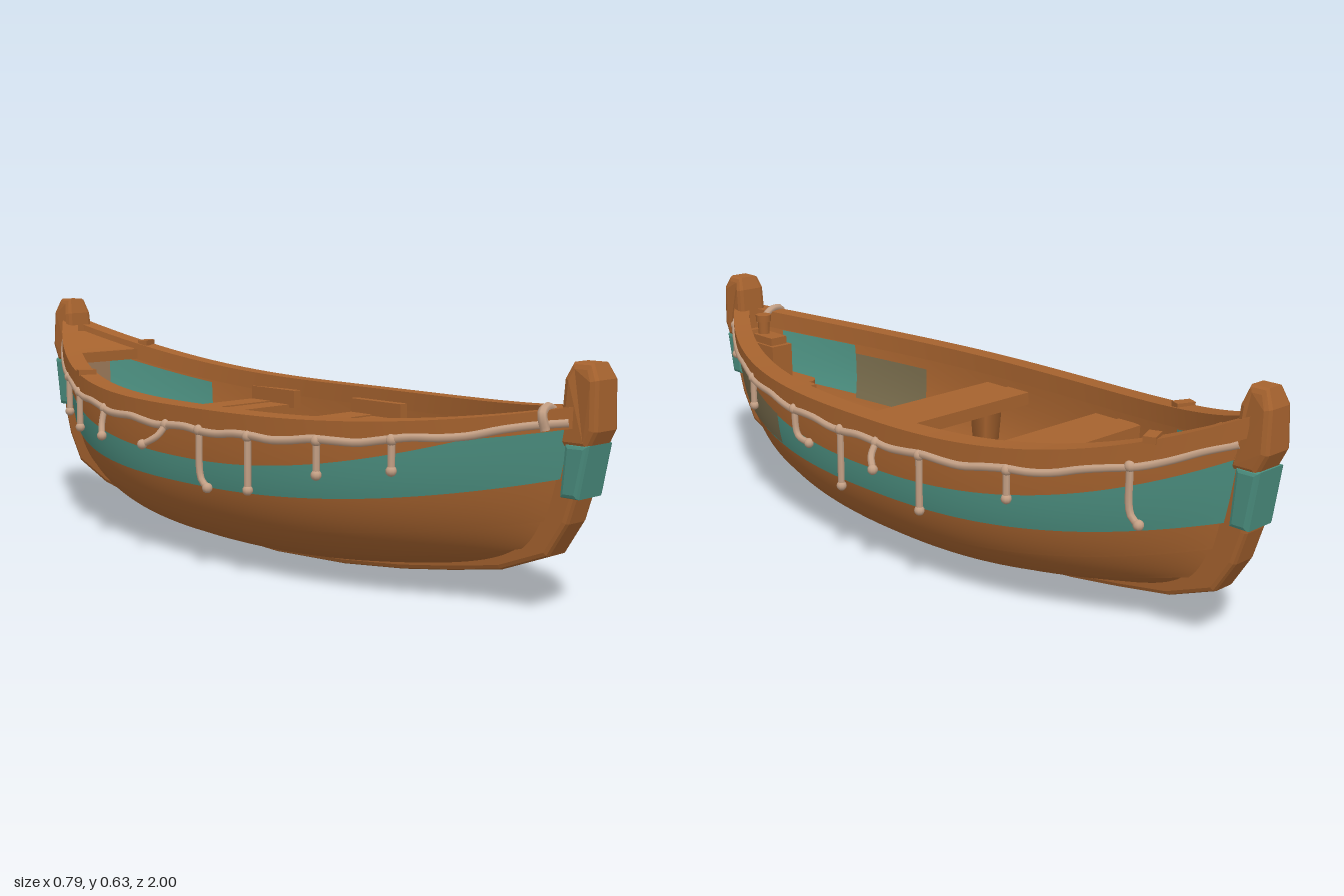
import * as THREE from 'three';
import { mergeGeometries } from 'three/addons/utils/BufferGeometryUtils.js';

const mat = (name, color) => new THREE.MeshStandardMaterial({ name, color, side: THREE.DoubleSide });

// Hull rules: u runs stern (-1) to bow (+1), h runs keel (0) to sheer (1)
const keelY = u => 0.025 + 0.1 * u * u;
const sheerY = u => 0.415 + (u > 0 ? 0.065 : 0.15) * Math.abs(u) ** 3;
const halfBeam = u => 0.03 + 0.295 * (1 - Math.abs(u) ** 2.5);
const fullness = (u, h) => Math.pow(1 - (1 - h) ** 3, 0.42 + 0.23 * Math.abs(u) ** 3);
const endZ = h => 0.84 + 0.11 * Math.pow(h, 0.6);
const bandLow = u => 0.5 + (u > 0 ? 0.05 : -0.07) * u * u;
const bandTop = u => Math.min(0.93, 0.67 + (u > 0 ? 0.32 : 0.12) * u * u);
const ropeH = u => 0.87 + (u > 0 ? 0.05 * u * u : 0);

function hullPoint(u, h, side, off = 0) {
  h = Math.min(1, Math.max(0, h));
  const x = Math.max(0, halfBeam(u) * fullness(u, h) + off);
  return new THREE.Vector3(side * x, keelY(u) + (sheerY(u) - keelY(u)) * h, u * endZ(h) * (off < -0.015 ? 0.985 : 1));
}

// Surface from a rule fn(a, b) with a and b in 0..1
function grid(fn, na, nb, flip = false) {
  const pos = [], idx = [];
  for (let i = 0; i <= na; i++) for (let j = 0; j <= nb; j++) {
    const p = fn(i / na, j / nb);
    pos.push(p.x, p.y, p.z);
  }
  for (let i = 0; i < na; i++) for (let j = 0; j < nb; j++) {
    const a = i * (nb + 1) + j, b = a + 1, c = a + nb + 1, d = c + 1;
    if (flip) idx.push(a, c, b, b, c, d);
    else idx.push(a, b, c, b, d, c);
  }
  const g = new THREE.BufferGeometry();
  g.setAttribute('position', new THREE.Float32BufferAttribute(pos, 3));
  g.setIndex(idx);
  g.computeVertexNormals();
  return g;
}

// Side profile of [z, y] points, extruded across x
function sideProfile(points, width, bevel = 0) {
  const shape = new THREE.Shape(points.map(([z, y]) => new THREE.Vector2(z, y)));
  const depth = width - 2 * bevel;
  const g = new THREE.ExtrudeGeometry(shape, {
    depth, bevelEnabled: bevel > 0, bevelSize: bevel, bevelThickness: bevel, bevelOffset: -bevel, bevelSegments: 2
  });
  return g.translate(0, 0, -depth / 2).rotateY(-Math.PI / 2);
}

// Narrow a post head above the given height
function taperAbove(g, y0) {
  const p = g.attributes.position;
  for (let i = 0; i < p.count; i++) p.setX(i, p.getX(i) * (1 - Math.max(0, p.getY(i) - y0) * 6));
  g.computeVertexNormals();
  return g;
}

export function createModel() {
  const boat = new THREE.Group();
  boat.name = 'rowingBoat';
  const wood = mat('brown wood', 0xa5622e);
  const teal = mat('teal paint', 0x4b8e7f);
  const worn = mat('worn paint', 0x75694a);
  const faded = mat('faded wood', 0x9c7a5a);
  const rope = mat('pale rope', 0xc4a085);

  const add = (name, geo, material, x = 0, y = 0, z = 0) => {
    const m = new THREE.Mesh(geo, material);
    m.name = name;
    m.position.set(x, y, z);
    boat.add(m);
    return m;
  };
  const box = (name, w, h, d, x, y, z, material = wood) => add(name, new THREE.BoxGeometry(w, h, d), material, x, y, z);

  // One run of planking between two heights, lower edge lapped outwards
  const strake = (side, u0, u1, low, high, offLow, offHigh, power = 1, nu = 56) =>
    grid((a, b) => {
      const u = u0 + (u1 - u0) * a, t = b ** power;
      return hullPoint(u, low(u) + (high(u) - low(u)) * t, side, offLow + (offHigh - offLow) * b);
    }, nu, 10, side > 0 !== offLow < -0.015);

  const k = v => () => v;
  for (const side of [1, -1]) {
    const label = side > 0 ? 'left' : 'right';
    // Outer planking
    add(label + 'BottomPlank', strake(side, -1, 1, k(0), k(0.11), 0, 0, 3), wood);
    add(label + 'BilgePlank', strake(side, -1, 1, k(0.1), k(0.3), 0.006, 0), wood);
    add(label + 'SidePlank', strake(side, -1, 1, k(0.28), u => bandLow(u) + 0.01, 0.006, 0), wood);
    add(label + 'PaintedBand', strake(side, -1, 1, bandLow, u => bandTop(u) + 0.01, 0.008, 0.002), teal);
    add(label + 'TopPlank', strake(side, -1, 1, bandTop, k(1), 0.005, 0), wood);
    // Inner lining with painted ends
    add(label + 'Lining', strake(side, -1, 1, k(0.1), k(0.98), -0.018, -0.018), wood);
    add(label + 'SternInnerPaint', strake(side, -0.93, -0.6, k(0.42), k(0.85), -0.022, -0.022, 1, 14), teal);
    add(label + 'BowInnerPaint', strake(side, 0.7, 0.92, k(0.45), k(0.85), -0.022, -0.022, 1, 14), teal);
    add(label + 'BowInnerWear', strake(side, 0.45, 0.7, k(0.42), k(0.78), -0.022, -0.022, 1, 14), worn);

    // Gunwale: rectangular rail swept along the sheer
    const rail = [[0.012, -0.045], [0.012, 0.002], [-0.045, 0.004], [-0.045, -0.045]];
    add(label + 'Gunwale', mergeGeometries(rail.map((p, i) => {
      const q = rail[(i + 1) % 4];
      return grid((a, b) => {
        const u = -1 + 2 * a, v = hullPoint(u, 1, side);
        v.x = side * Math.max(0, halfBeam(u) + p[0] + (q[0] - p[0]) * b);
        v.y += p[1] + (q[1] - p[1]) * b;
        return v;
      }, 56, 1, side > 0);
    })), wood);

    // Rope slung beneath the rail
    const line = [];
    for (let i = 0; i <= 32; i++) {
      const u = -0.99 + i * 0.0619, v = hullPoint(u, ropeH(u), side, 0.012);
      v.y += 0.004 * Math.sin(i * 1.7);
      line.push(v);
    }
    add(label + 'Rope', new THREE.TubeGeometry(new THREE.CatmullRomCurve3(line), 100, 0.01, 7), rope);
  }

  // Worn area on the left bow
  add('bandWear', strake(1, 0.42, 0.92, u => bandLow(u) + 0.02, u => bandTop(u) + 0.02, 0.011, 0.008, 1, 20), worn);

  // Hanging cords: [side, z, drop, outward reach, sideways kick]
  const cords = [
    [1, 0.9, 0.09, 0, 0], [1, 0.55, 0.08, 0, 0], [1, 0.28, 0.08, 0, -0.06], [1, 0.07, 0.15, 0, 0],
    [1, -0.07, 0.05, 0.045, -0.04], [1, -0.22, 0.14, 0, 0], [1, -0.47, 0.07, 0, 0], [1, -0.74, 0.13, 0, -0.03],
    [-1, 0.6, 0.07, 0, 0], [-1, 0.42, 0.08, 0, 0], [-1, 0.22, 0.13, 0, 0], [-1, 0.05, 0.14, 0, 0.03],
    [-1, -0.08, 0.05, 0.045, -0.04], [-1, -0.38, 0.07, 0.025, 0.02], [-1, -0.57, 0.1, 0, 0], [-1, -0.7, 0.1, 0, 0]
  ];
  for (const [side, z, drop, out, kick] of cords) {
    const u = z / endZ(0.87), top = hullPoint(u, ropeH(u), side, 0.012);
    const mid = top.clone().add(new THREE.Vector3(side * out * 0.5, -drop * (kick && !out ? 0.85 : 0.55), kick * 0.2));
    const end = top.clone().add(new THREE.Vector3(side * out, -drop, kick));
    add('hangingCord', new THREE.TubeGeometry(new THREE.CatmullRomCurve3([top, mid, end]), 10, 0.009, 7), rope);
    add('cordKnot', new THREE.SphereGeometry(0.014, 10, 8), rope, top.x, top.y, top.z);
    add('cordEnd', new THREE.SphereGeometry(0.013, 10, 8), rope, end.x, end.y, end.z);
  }

  // Keel and stems as one curved timber
  const outer = [[0.972, 0.42], [0.955, 0.3], [0.93, 0.22], [0.88, 0.14], [0.75, 0.088], [0.6, 0.06], [0.45, 0.036], [0.25, 0.014], [0, 0.003]];
  const inner = [[0, 0.05], [0.45, 0.08], [0.72, 0.13], [0.83, 0.2], [0.87, 0.3], [0.89, 0.42]];
  const mirror = pts => pts.slice().reverse().filter(p => p[0] > 0).map(([z, y]) => [-z, y > 0.4 ? 0.47 : y]);
  add('keel', sideProfile([...outer, ...mirror(outer), ...mirror(inner), ...inner], 0.08, 0.012), wood);

  // Painted sleeves and heads of the stem posts
  add('bowSleeve', sideProfile([[0.985, 0.4], [0.962, 0.28], [0.915, 0.28], [0.925, 0.4]], 0.1, 0.01), teal);
  add('sternSleeve', sideProfile([[-0.985, 0.45], [-0.965, 0.31], [-0.915, 0.31], [-0.925, 0.45]], 0.1, 0.01), teal);
  add('bowPost', taperAbove(sideProfile([[0.98, 0.39], [1, 0.43], [0.998, 0.54], [0.98, 0.575], [0.93, 0.575], [0.915, 0.54], [0.905, 0.39]], 0.094, 0.014), 0.53), wood);
  add('sternPost', taperAbove(sideProfile([[-0.975, 0.44], [-1, 0.49], [-0.998, 0.59], [-0.98, 0.632], [-0.935, 0.632], [-0.92, 0.59], [-0.905, 0.44]], 0.094, 0.014), 0.57), wood);

  // Floor, following the lining
  const floorY = 0.15;
  add('floor', grid((a, b) => {
    const u = -0.9 + 1.8 * a, h = (floorY - keelY(u)) / (sheerY(u) - keelY(u));
    const v = hullPoint(u, h, 1, -0.012);
    return new THREE.Vector3(v.x * (2 * b - 1), floorY, v.z);
  }, 40, 2), wood);
  for (const z of [0.45, 0.61]) box('floorBatten', 0.34 - (z - 0.45) * 0.5, 0.02, 0.025, 0, floorY + 0.01, z);

  // Thwarts: two planks each, on legs and knees
  for (const [z0, z1] of [[-0.4, -0.24], [0.005, 0.17]]) {
    const mid = (z0 + z1) / 2, w = (z1 - z0) / 2;
    box('thwartPlank', 0.55, 0.035, w - 0.003, 0, 0.335, z0 + w / 2);
    box('thwartPlank', 0.55, 0.032, w - 0.003, 0, 0.333, z1 - w / 2);
    for (const s of [1, -1]) {
      add('thwartLeg', new THREE.CylinderGeometry(0.045, 0.03, 0.18, 4, 1).rotateY(Math.PI / 4), wood, s * 0.19, 0.235, mid);
    }
    box('thwartKnee', 0.025, 0.05, z1 - z0 + 0.02, 0.255, 0.365, mid + 0.01);
  }

  // Stern deck between the rails, with its front beam and bulkhead
  add('sternDeck', grid((a, b) => {
    const u = -0.82 - 0.17 * a, v = hullPoint(u, 1, 1, -0.01);
    return new THREE.Vector3(v.x * (2 * b - 1), sheerY(u) - 0.014, u * endZ(1));
  }, 8, 2, true), wood);
  box('sternDeckBeam', 0.24, 0.03, 0.03, 0, sheerY(-0.82) - 0.03, -0.785);
  box('sternBulkhead', 0.1, 0.24, 0.008, 0, 0.35, -0.84, faded);

  // Bow fitting: rounded step, upright block and bollard
  const step = new THREE.Shape();
  step.moveTo(-0.065, -0.81);
  step.lineTo(0.065, -0.81);
  step.lineTo(0.07, -0.71);
  step.quadraticCurveTo(0.06, -0.68, 0.03, -0.68);
  step.lineTo(0.03, -0.645);
  step.lineTo(-0.03, -0.645);
  step.lineTo(-0.03, -0.68);
  step.quadraticCurveTo(-0.06, -0.68, -0.07, -0.71);
  add('bowStep', new THREE.ExtrudeGeometry(step, { depth: 0.06, bevelEnabled: false }).rotateX(-Math.PI / 2), wood, 0, 0.23, 0);
  box('bowStepFoot', 0.07, 0.09, 0.08, 0, 0.19, 0.71);
  box('bowBlock', 0.07, 0.11, 0.1, 0, 0.335, 0.82);
  box('bowBlockCap', 0.055, 0.025, 0.09, 0, 0.4, 0.83);
  add('bollard', new THREE.CylinderGeometry(0.017, 0.017, 0.05, 12), wood, 0, 0.43, 0.86);
  add('bollardHead', new THREE.CylinderGeometry(0.023, 0.023, 0.02, 12), wood, 0, 0.46, 0.86);
  const tie = [[0, 0.44, 0.88], [-0.05, 0.475, 0.885], [-0.095, 0.465, 0.9], [-0.09, 0.43, 0.905]].map(p => new THREE.Vector3(...p));
  add('mooringRope', new THREE.TubeGeometry(new THREE.CatmullRomCurve3(tie), 16, 0.011, 7), rope);

  // Cleats on the rail
  for (const [s, u] of [[1, -0.81], [-1, -0.59]]) {
    const p = hullPoint(u, 1, s, -0.012);
    box('railCleat', 0.05, 0.016, 0.03, p.x, p.y + 0.006, p.z).rotation.y = s * 0.4;
  }
  return boat;
}
